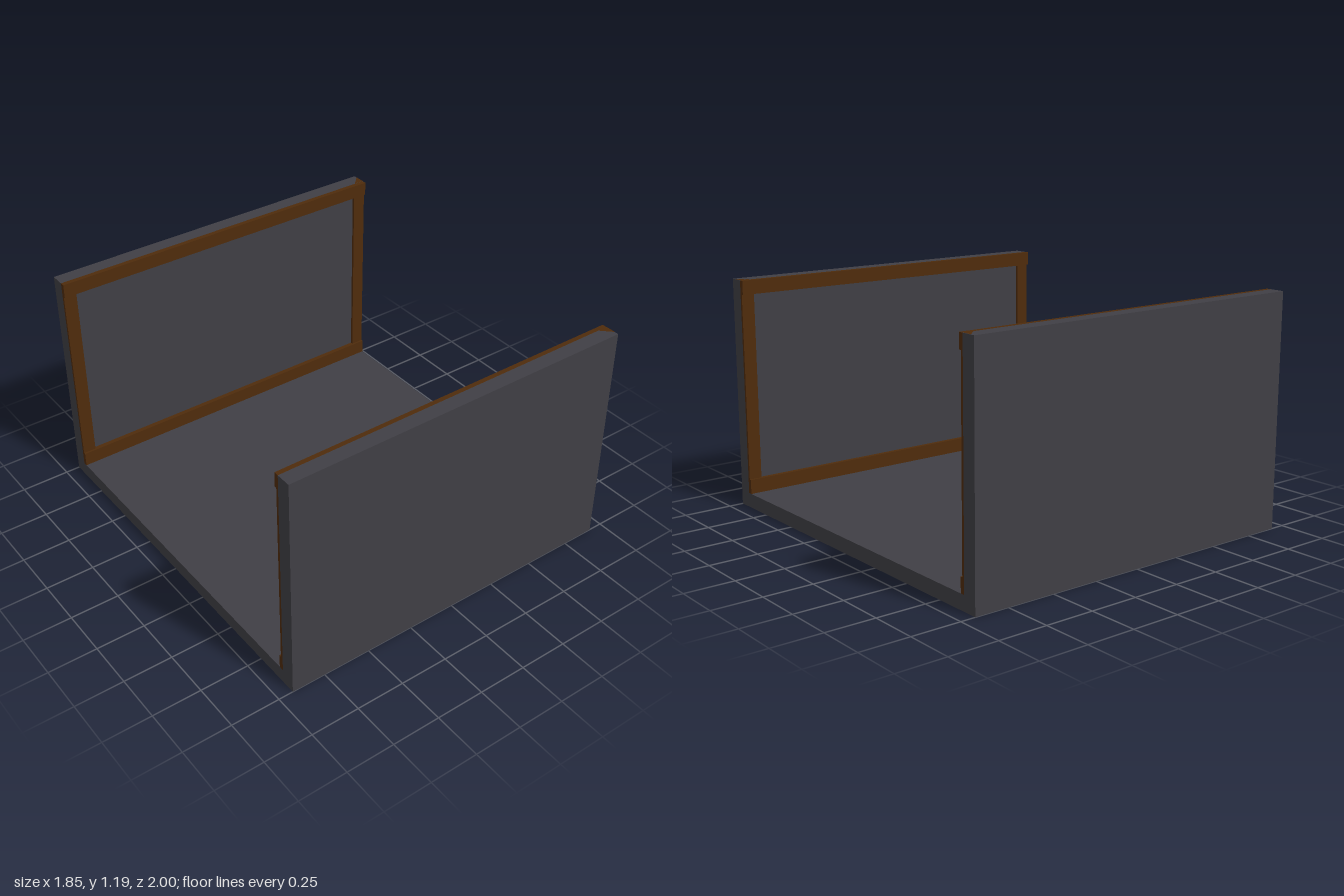
import * as THREE from 'three';

const HALF_X = 0.925, HEIGHT = 1.185, FLOOR = 0.075, WALL_IN = 0.925;

export function createModel() {
  const group = new THREE.Group();
  const slate = new THREE.MeshStandardMaterial({ color: 0x403f45 });
  slate.name = 'slate';
  const wood = new THREE.MeshStandardMaterial({ color: 0x4f2c0c });
  wood.name = 'dark wood';

  // Box given by its minimum and maximum corners
  const box = (parent, name, material, [x0, y0, z0], [x1, y1, z1]) => {
    const mesh = new THREE.Mesh(new THREE.BoxGeometry(x1 - x0, y1 - y0, z1 - z0), material);
    mesh.position.set((x0 + x1) / 2, (y0 + y1) / 2, (z0 + z1) / 2);
    mesh.name = name;
    parent.add(mesh);
  };

  // Floor slab fits between the two walls
  box(group, 'floor', slate, [-HALF_X, 0, -WALL_IN], [HALF_X, FLOOR, WALL_IN]);

  for (const side of [1, -1]) {
    const wall = new THREE.Group();
    wall.name = side > 0 ? 'frontWall' : 'backWall';
    group.add(wall);

    // z range on this side, ordered low to high
    const slab = (name, material, x0, x1, y0, y1, zIn, zOut) => {
      const [a, b] = side > 0 ? [zIn, zOut] : [-zOut, -zIn];
      box(wall, name, material, [x0, y0, a], [x1, y1, b]);
    };
    slab('panel', slate, -HALF_X, HALF_X, 0, HEIGHT, WALL_IN, 1);

    // Inner trim: two thick rails and two thinner stiles
    slab('topRail', wood, -HALF_X, HALF_X, HEIGHT - 0.072, HEIGHT, 0.901, WALL_IN);
    slab('bottomRail', wood, -HALF_X, HALF_X, FLOOR, FLOOR + 0.075, 0.901, WALL_IN);
    for (const s of [1, -1]) {
      const xs = [s * HALF_X, s * (HALF_X - 0.068)].sort((a, b) => a - b);
      slab('stile', wood, xs[0], xs[1], FLOOR + 0.075, HEIGHT - 0.072, 0.912, WALL_IN);
    }

    // Small triangular inlay on the top corner
    const tri = new THREE.Shape([
      new THREE.Vector2(HALF_X - 0.055, -side * WALL_IN),
      new THREE.Vector2(HALF_X, -side * WALL_IN),
      new THREE.Vector2(HALF_X, -side * (WALL_IN + 0.055)),
    ]);
    const inlay = new THREE.Mesh(new THREE.ShapeGeometry(tri), wood);
    inlay.rotation.x = -Math.PI / 2;
    inlay.position.y = HEIGHT + 0.001;
    inlay.name = 'cornerInlay';
    wall.add(inlay);
  }
  return group;
}
